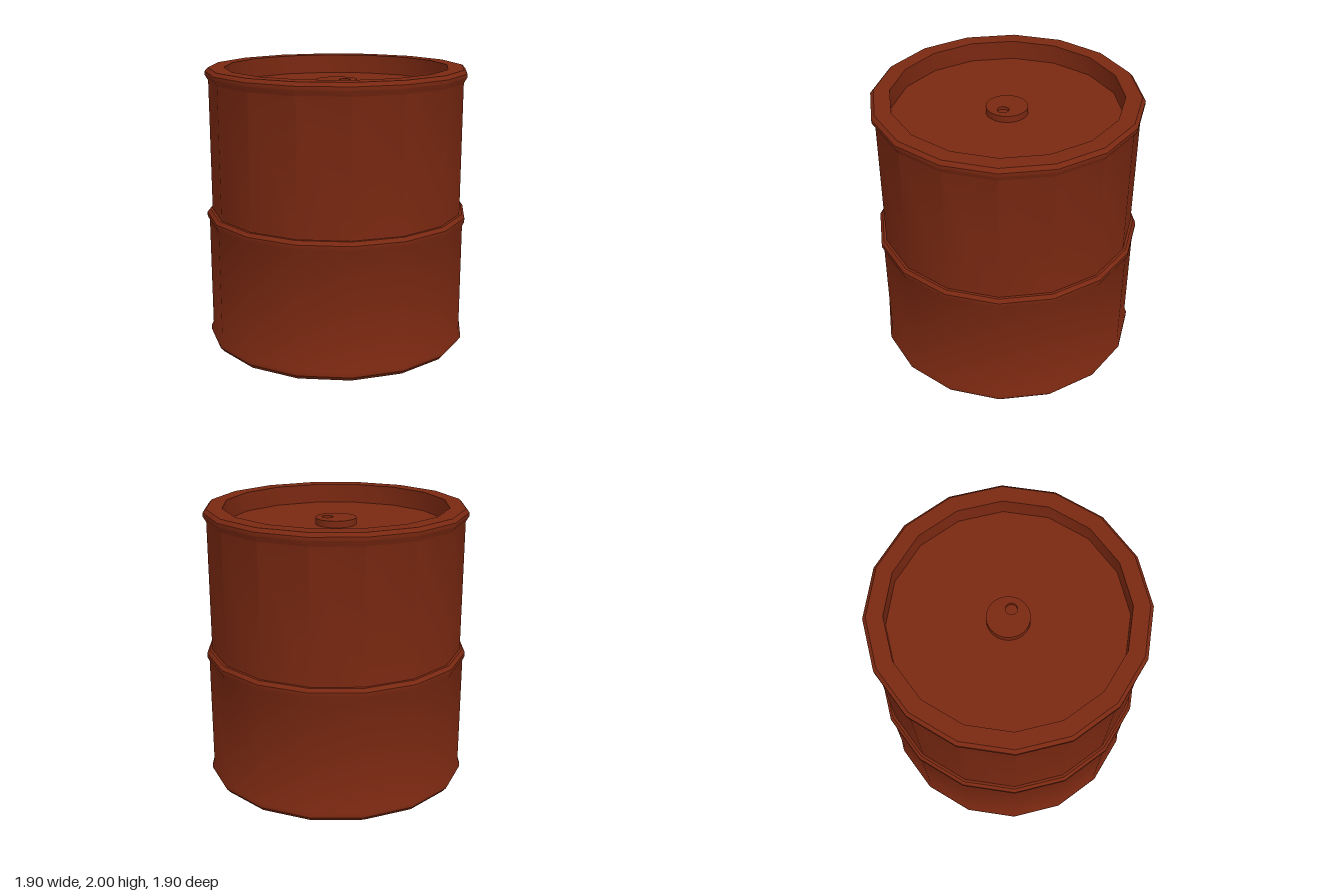
import * as THREE from 'three';
import { toCreasedNormals } from 'three/addons/utils/BufferGeometryUtils.js';

const SIDES = 16;

export function createModel() {
  const group = new THREE.Group();
  const rust = new THREE.MeshStandardMaterial({ color: 0x7a2811 });
  rust.name = 'rust red';

  const add = (name, geometry, y = 0, x = 0) => {
    const mesh = new THREE.Mesh(geometry, rust);
    mesh.name = name;
    mesh.position.set(x, y, 0);
    group.add(mesh);
    return mesh;
  };
  const disc = (radius, sides, facing) =>
    new THREE.CircleGeometry(radius, sides).rotateX(facing * -Math.PI / 2);

  // Drum wall with bottom, middle and top rims, from the lower recess to the upper one
  const profile = [
    [0.80, 0.10], [0.86, 0], [0.925, 0], [0.95, 0.03], [0.95, 0.06], [0.935, 0.09],
    [0.935, 0.89], [0.95, 0.92], [0.95, 0.95], [0.93, 0.975], [0.912, 0.975],
    [0.912, 1.91], [0.935, 1.95], [0.935, 1.975], [0.912, 2], [0.80, 2], [0.80, 1.86],
  ].map(([r, y]) => new THREE.Vector2(r, y));
  add('drumWall', toCreasedNormals(new THREE.LatheGeometry(profile, SIDES), 0.6));

  // Sunken lid and base
  add('lid', disc(0.80, SIDES, 1), 1.86);
  add('base', disc(0.80, SIDES, -1), 0.10);

  // Round cap with a small off-centre hole
  const capShape = new THREE.Shape().absarc(0, 0, 0.145, 0, Math.PI * 2, false);
  capShape.holes.push(new THREE.Path().absarc(0.06, 0, 0.04, 0, Math.PI * 2, true));
  const cap = new THREE.ExtrudeGeometry(capShape, { depth: 0.047, bevelEnabled: false, curveSegments: 32 });
  add('cap', toCreasedNormals(cap.rotateX(-Math.PI / 2), 0.6), 1.86);
  add('capHoleFloor', disc(0.04, 32, 1), 1.885, 0.06);

  return group;
}
